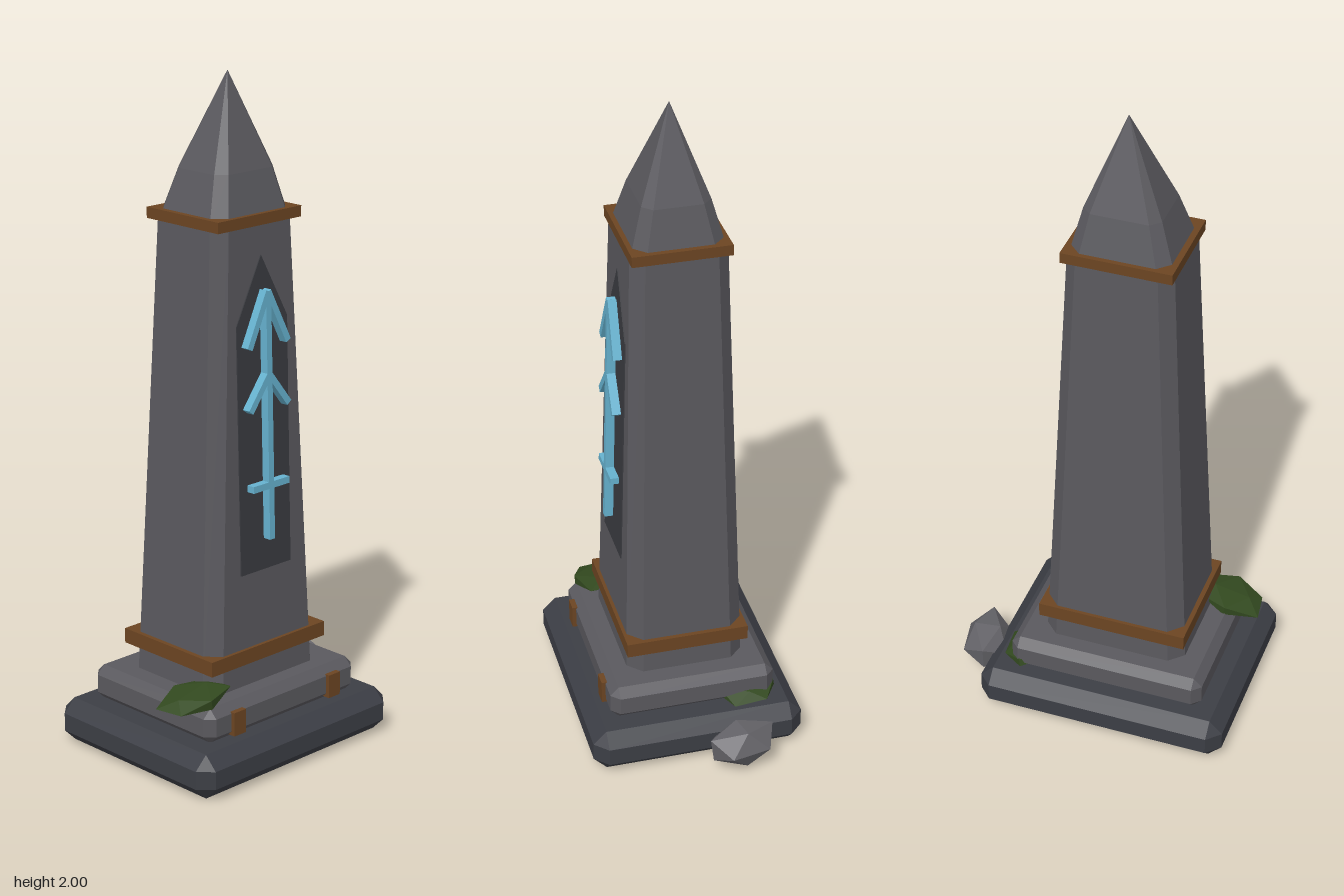
import * as THREE from 'three';

const CX = -0.06; // the monument stands slightly left of the origin
const COLORS = {
  base: 0x3c3e45, stone: 0x5a595e, bronze: 0x6c4522, panel: 0x3a3b40,
  glyph: 0x66b2cf, moss: 0x32491f, rock: 0x646368,
};

function addMesh(parent, name, geometry, color) {
  const material = new THREE.MeshStandardMaterial({ color, flatShading: true });
  const mesh = new THREE.Mesh(geometry, material);
  mesh.name = name;
  parent.add(mesh);
  return mesh;
}

// Stack of rectangles with cut corners; ring = [y, halfX, halfZ, cut, shiftX]
function loft(rings) {
  const loops = rings.map(([y, w, d, c, s = 0]) => [
    [-w + c, d], [w - c, d], [w, d - c], [w, c - d],
    [w - c, -d], [c - w, -d], [-w, c - d], [-w, d - c],
  ].map(([x, z]) => new THREE.Vector3(x + s, y, z)));
  const positions = [];
  const tri = (a, b, c) => {
    const area = b.clone().sub(a).cross(c.clone().sub(a)).length();
    if (area > 1e-8) for (const p of [a, b, c]) positions.push(p.x, p.y, p.z);
  };
  for (let r = 0; r < loops.length - 1; r++) {
    const lo = loops[r], hi = loops[r + 1];
    for (let i = 0; i < 8; i++) {
      const j = (i + 1) % 8;
      tri(lo[i], lo[j], hi[j]);
      tri(lo[i], hi[j], hi[i]);
    }
  }
  const bottom = loops[0], top = loops[loops.length - 1];
  for (let i = 1; i < 7; i++) {
    tri(bottom[0], bottom[i + 1], bottom[i]);
    tri(top[0], top[i], top[i + 1]);
  }
  const geometry = new THREE.BufferGeometry();
  geometry.setAttribute('position', new THREE.Float32BufferAttribute(positions, 3));
  geometry.computeVertexNormals();
  return geometry;
}

// Slab with every edge bevelled by c
const bevelledSlab = (y0, y1, w, d, c) => loft([
  [y0, w - c, d - c, 0], [y0 + c, w, d, c], [y1 - c, w, d, c], [y1, w - c, d - c, 0],
]);

// Low-poly lump, roughened by a position-based rule so shared corners stay joined
function lump(sx, sy, sz, rough, phase) {
  const geometry = new THREE.IcosahedronGeometry(1, 0);
  const p = geometry.attributes.position;
  const v = new THREE.Vector3();
  for (let i = 0; i < p.count; i++) {
    v.fromBufferAttribute(p, i);
    const k = 1.08 + rough * Math.sin(v.x * 5.1 + v.y * 7.3 + v.z * 3.7 + phase);
    p.setXYZ(i, v.x * k * sx, v.y * k * sy, v.z * k * sz);
  }
  geometry.computeVertexNormals();
  return geometry;
}

export function createModel() {
  const model = new THREE.Group();
  model.name = 'obelisk';

  // Stepped foot
  const body = new THREE.Group();
  body.name = 'monument';
  body.position.x = CX;
  model.add(body);
  addMesh(body, 'base', bevelledSlab(0, 0.135, 0.388, 0.323, 0.04), COLORS.base);
  addMesh(body, 'plinth', bevelledSlab(0.13, 0.237, 0.304, 0.253, 0.026), COLORS.stone);

  // Tapered shaft and pointed cap
  addMesh(body, 'shaft', loft([
    [0.225, 0.222, 0.179, 0.042], [1.6, 0.156, 0.142, 0.037],
  ]), COLORS.stone);
  addMesh(body, 'cap', loft([
    [1.6, 0.15, 0.135, 0.036], [1.73, 0.113, 0.1, 0.028, 0.006], [2, 0, 0, 0, 0.014],
  ]), COLORS.stone);

  // Bronze bands
  for (const [name, y, h, w, d] of [
    ['lowerBand', 0.328, 0.045, 0.46, 0.372], ['upperBand', 1.6, 0.032, 0.325, 0.29],
  ]) {
    addMesh(body, name, new THREE.BoxGeometry(w, h, d), COLORS.bronze).position.y = y;
  }

  // Bronze clips on the plinth
  for (const side of [-1, 1]) {
    addMesh(body, 'plinthClip', new THREE.BoxGeometry(0.047, 0.072, 0.03), COLORS.bronze)
      .position.set(side * 0.195, 0.18, 0.25);
  }

  // Front inlay follows the slope of the shaft
  const inlay = new THREE.Group();
  inlay.name = 'inlay';
  inlay.position.set(0, 1, 0.1585);
  inlay.rotation.x = -Math.atan(0.0269);
  body.add(inlay);

  const outline = new THREE.Shape([
    [-0.1, -0.425], [0.1, -0.425], [0.1, 0.31], [0, 0.5], [-0.1, 0.31],
  ].map(([x, y]) => new THREE.Vector2(x, y)));
  addMesh(inlay, 'panel', new THREE.ExtrudeGeometry(outline, { depth: 0.008, bevelEnabled: false }),
    COLORS.panel).position.z = -0.005;

  // Raised sign: stem, crossbar and two chevrons
  const bar = (name, x0, y0, x1, y1) => {
    const dx = x1 - x0, dy = y1 - y0;
    const mesh = addMesh(inlay, name,
      new THREE.BoxGeometry(0.02, Math.hypot(dx, dy), 0.026), COLORS.glyph);
    mesh.position.set((x0 + x1) / 2, (y0 + y1) / 2, 0.018);
    mesh.rotation.z = Math.atan2(-dx, dy);
  };
  bar('signStem', 0, -0.33, 0, 0.4);
  bar('signCrossbar', -0.072, -0.167, 0.072, -0.167);
  for (const side of [-1, 1]) {
    bar('upperChevron', side * 0.076, 0.245, 0, 0.4);
    bar('lowerChevron', side * 0.076, 0.062, 0, 0.16);
  }

  // Loose rock and moss patches
  const rock = addMesh(model, 'rock', lump(0.072, 0.066, 0.104, 0.1, 0.4), COLORS.rock);
  rock.position.set(0.372, 0.08, -0.112);
  rock.rotation.y = 0.2;

  const leftMoss = addMesh(model, 'leftMoss', lump(0.105, 0.024, 0.08, 0.08, 1.3), COLORS.moss);
  leftMoss.position.set(-0.335, 0.248, 0.155);
  leftMoss.rotation.z = 0.2;

  const rightMoss = addMesh(model, 'rightMoss', lump(0.075, 0.02, 0.09, 0.08, 2.2), COLORS.moss);
  rightMoss.position.set(0.21, 0.157, -0.172);
  rightMoss.rotation.z = -0.2;

  return model;
}
